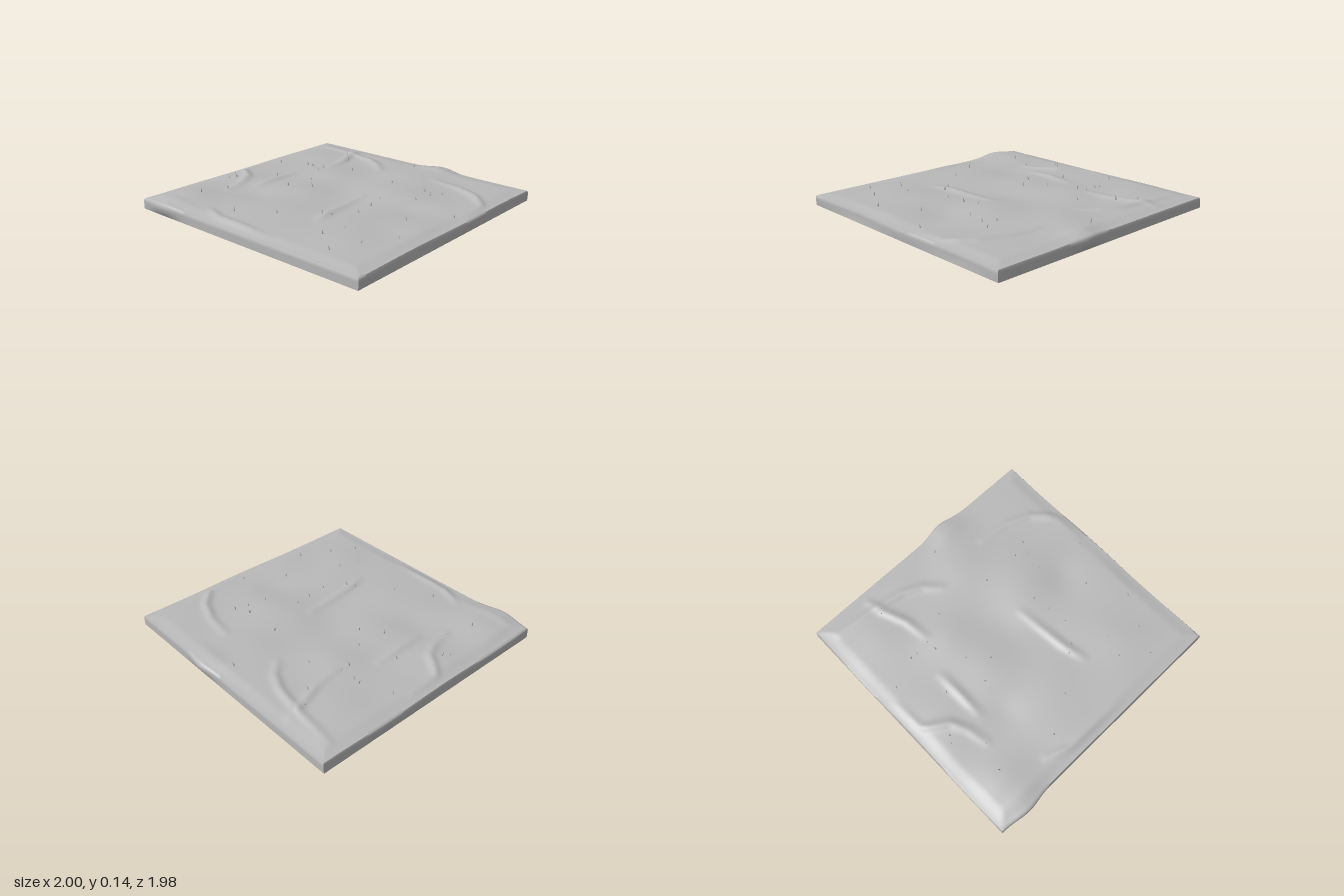
import * as THREE from 'three';
import { mergeVertices, toCreasedNormals } from 'three/addons/utils/BufferGeometryUtils.js';

const WIDTH = 1.945, DEPTH = 1.975, THICK = 0.075;

// Raised ridges as paths of [x, z]
const ridges = [
  [[-0.47, -0.65], [-0.32, -0.68], [-0.2, -0.74], [-0.13, -0.85], [-0.08, -0.92], [0.15, -0.93]],
  [[-0.28, -0.55], [0.09, -0.55]],
  [[0.84, -0.88], [0.81, -0.6], [0.76, -0.33], [0.7, -0.2], [0.6, -0.1]],
  [[0.4, -0.44], [0.57, -0.46], [0.75, -0.53], [0.9, -0.56]],
  [[-0.83, -0.43], [-0.9, -0.27], [-0.905, 0], [-0.92, 0.2]],
  [[-0.5, 0.26], [-0.35, 0.225], [0.04, 0.19]],
  [[0.67, 0.38], [0.64, 0.6], [0.57, 0.78], [0.43, 0.935], [0.2, 0.95]],
];

// Soft mounds and hollows: x, z, radius, height
const mounds = [
  [-0.75, -0.75, 0.22, 0.022], [0.25, 0.35, 0.24, 0.026], [0.65, 0.12, 0.2, 0.02],
  [-0.55, 0.5, 0.25, 0.016], [-0.15, -0.3, 0.22, 0.014], [0.3, -0.3, 0.2, 0.018],
  [-0.6, -0.1, 0.25, 0.014], [0.55, -0.7, 0.22, 0.012], [-0.2, -0.8, 0.18, 0.014],
  [0.05, 0.62, 0.14, -0.012], [0.02, 0.02, 0.16, -0.01], [-0.42, -0.42, 0.13, -0.01],
  [0.9, 0.25, 0.15, 0.012], [-0.25, 0.8, 0.2, 0.006],
];

// Grass tufts: [x, z]
const tufts = [
  [-0.31, -0.83], [-0.26, -0.8], [0.25, -0.84], [-0.67, -0.72], [-0.47, -0.66], [-0.02, -0.61],
  [0.34, -0.62], [0.34, -0.57], [0.27, -0.45], [0.35, -0.46], [0.63, -0.45], [0.74, -0.55],
  [-0.15, -0.36], [0.07, -0.34], [-0.05, -0.21], [0.45, -0.25], [-0.75, -0.28], [-0.6, -0.02],
  [0.84, 0.06], [0.4, 0.18], [-0.41, 0.21], [-0.38, 0.27], [-0.22, 0.37], [-0.07, 0.35],
  [0.06, 0.33], [-0.67, 0.45], [-0.52, 0.5], [0.4, 0.47], [0.35, 0.55], [0.44, 0.59],
  [-0.81, 0.63], [-0.62, 0.72], [-0.12, 0.69], [0.14, 0.89], [-0.4, 0.84], [0.21, 0.53],
];

const smooth = THREE.MathUtils.smoothstep;
const gauss = (d, r) => Math.exp(-(d * d) / (r * r));

// Distance to a path, plus how far along it the nearest point lies (0..1)
function nearestOnPath(path, x, z) {
  let best = { d: Infinity, t: 0 };
  for (let i = 0; i < path.length - 1; i++) {
    const [ax, az] = path[i], [bx, bz] = path[i + 1];
    const dx = bx - ax, dz = bz - az;
    const k = THREE.MathUtils.clamp(((x - ax) * dx + (z - az) * dz) / (dx * dx + dz * dz), 0, 1);
    const d = Math.hypot(x - ax - k * dx, z - az - k * dz);
    if (d < best.d) best = { d, t: (i + k) / (path.length - 1) };
  }
  return best;
}

// Height of the ground surface
function heightAt(x, z) {
  const edge = Math.min(WIDTH / 2 - Math.abs(x), DEPTH / 2 - Math.abs(z));
  let h = 0.014 + 0.002 * Math.sin(x * 11 + z * 4) * Math.sin(z * 9 - x * 3);
  for (const [mx, mz, r, a] of mounds) h += a * gauss(Math.hypot(x - mx, z - mz), r);
  for (const path of ridges) {
    const { d, t } = nearestOnPath(path, x, z);
    h += 0.017 * gauss(d, 0.032) * (0.35 + 0.65 * Math.sin(Math.PI * t));
  }
  const lip = 0.02 * (x < 0 ? gauss(z + 0.76, 0.16) : gauss(z - 0.24, 0.14)) * smooth(Math.abs(x), 0.8, 0.97);
  return THICK + h * smooth(edge, -0.01, 0.11) + lip;
}

// Slab with an uneven top and softly bulging sides
function slabGeometry() {
  const box = new THREE.BoxGeometry(WIDTH, 1, DEPTH, 120, 6, 120);
  box.deleteAttribute('normal');
  box.deleteAttribute('uv');
  const geometry = mergeVertices(box);
  const p = geometry.attributes.position;
  for (let i = 0; i < p.count; i++) {
    const x = p.getX(i), z = p.getZ(i), t = p.getY(i) + 0.5;
    const swell = Math.sin(Math.PI * 0.7 * t);
    const round = t > 0.99 ? -0.006 : 0;
    const bulge = x < 0 ? gauss(z + 0.76, 0.14) : gauss(z - 0.24, 0.12);
    const nearSide = smooth(Math.abs(x), 0.75, WIDTH / 2), nearEnd = smooth(Math.abs(z), 0.8, DEPTH / 2);
    const wave = 0.004 * Math.sin(x * 6 + z) * swell;
    p.setXYZ(i,
      x + Math.sign(x) * nearSide * (0.028 * bulge * swell + round),
      t * heightAt(x, z),
      z + Math.sign(z) * nearEnd * (wave + round));
  }
  return toCreasedNormals(geometry, 1.0);
}

// Slim curved blade, standing on its base
function bladeGeometry(height, lean) {
  const g = new THREE.ConeGeometry(0.007, height, 5, 3);
  g.translate(0, height / 2, 0);
  const p = g.attributes.position;
  for (let i = 0; i < p.count; i++) p.setX(i, p.getX(i) + lean * (p.getY(i) / height) ** 2);
  g.computeVertexNormals();
  return g;
}

export function createModel() {
  const model = new THREE.Group();
  model.name = 'groundTile';
  const earth = new THREE.MeshStandardMaterial({ color: 0xb8b8b8 });
  earth.name = 'grey earth';

  const slab = new THREE.Mesh(slabGeometry(), earth);
  slab.name = 'ground';
  model.add(slab);

  // Scattered tufts of one tall and one short blade
  const tall = bladeGeometry(0.04, 0.012), short = bladeGeometry(0.024, -0.01);
  tufts.forEach(([x, z], i) => {
    const tuft = new THREE.Group();
    tuft.name = 'grassTuft';
    for (const geometry of i % 3 ? [tall] : [tall, short]) {
      const blade = new THREE.Mesh(geometry, earth);
      blade.name = 'grassBlade';
      tuft.add(blade);
    }
    tuft.position.set(x, heightAt(x, z) - 0.005, z);
    tuft.rotation.y = i * 2.4;
    tuft.scale.setScalar(0.7 + 0.3 * Math.abs(Math.sin(i * 1.7)));
    model.add(tuft);
  });
  return model;
}
